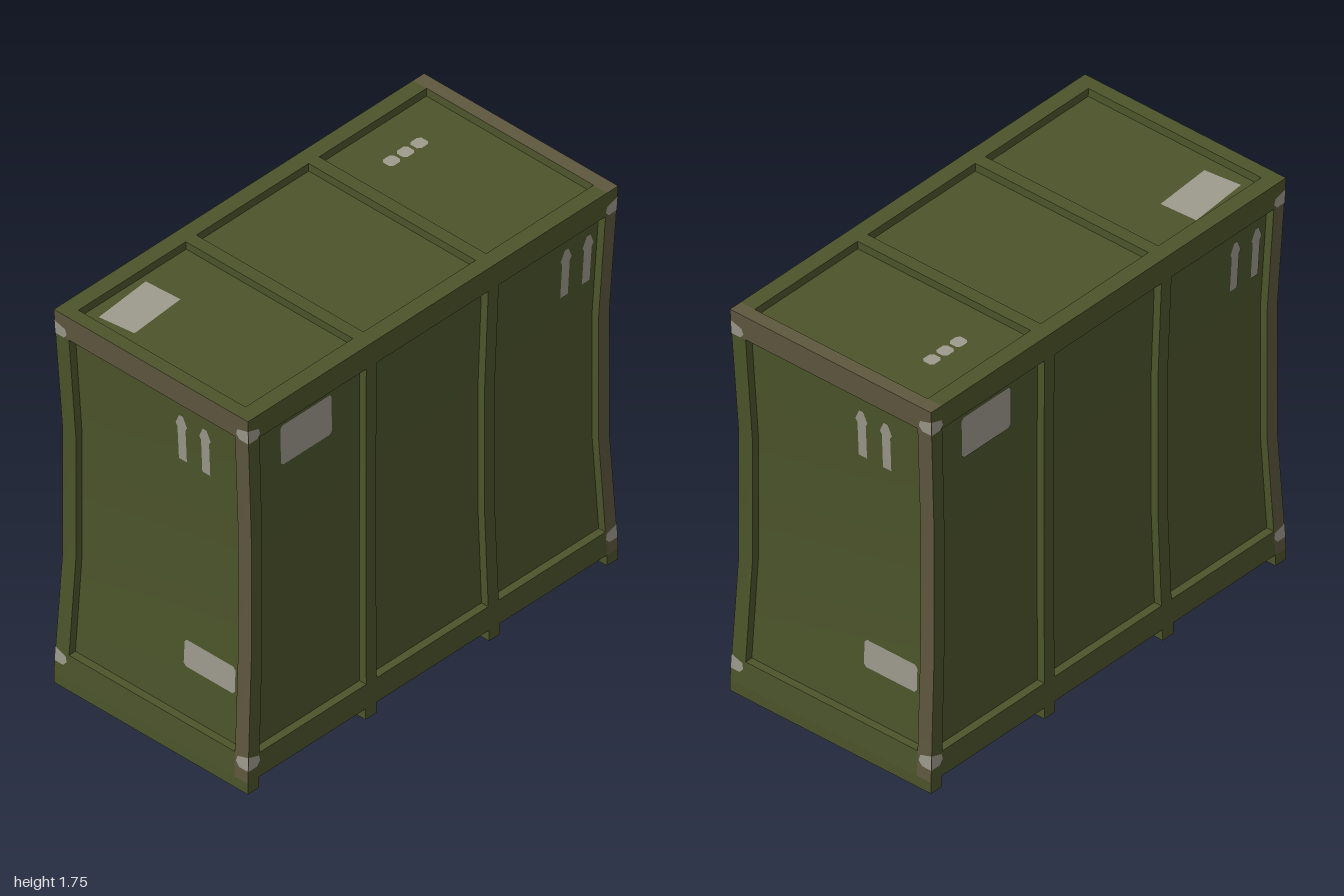
import * as THREE from 'three';

const mat = (name, color) => Object.assign(new THREE.MeshStandardMaterial({ color }), { name });

export function createModel() {
  const green = mat('olive paint', 0x4d552b);
  const brown = mat('worn brown', 0x5f583f);
  const grey = mat('stencil grey', 0x9d9a8d);
  const group = new THREE.Group();
  group.name = 'crate';

  // The walls pinch inward between two heights
  const LOW = 0.6, HIGH = 1.18, BASE = 0.05, TOP = 1.75;
  const pinch = y => THREE.MathUtils.clamp(
    y < LOW ? (y - BASE) / (LOW - BASE) : (TOP - y) / (TOP - HIGH), 0, 1);
  function warp(geo) {
    const p = geo.attributes.position;
    for (let i = 0; i < p.count; i++) {
      const k = pinch(p.getY(i));
      p.setX(i, p.getX(i) * (1 - 0.033 * k));
      p.setZ(i, p.getZ(i) * (1 - 0.028 * k));
    }
    geo.computeVertexNormals();
    return geo;
  }

  // Box from limits; worn lists the face indices (+x -x +y -y +z -z) painted brown
  function box(name, x0, x1, y0, y1, z0, z1, worn = []) {
    const tall = y0 < LOW && y1 > HIGH;
    const geo = new THREE.BoxGeometry(x1 - x0, 3, z1 - z0, 1, tall ? 3 : 1, 1);
    geo.translate((x0 + x1) / 2, 1.5, (z0 + z1) / 2);
    const rows = [y0, LOW, HIGH, y1];
    const p = geo.attributes.position;
    for (let i = 0; i < p.count; i++) p.setY(i, rows[Math.round(p.getY(i))]);
    const mats = worn.length ? [0, 1, 2, 3, 4, 5].map(i => (worn.includes(i) ? brown : green)) : green;
    const mesh = new THREE.Mesh(warp(geo), mats);
    mesh.name = name;
    group.add(mesh);
  }

  // Flat painted mark, drawn in a wall's own plane and turned onto that wall
  function mark(name, pts, dist, turn) {
    const geo = new THREE.ShapeGeometry(new THREE.Shape(pts.map(([x, y]) => new THREE.Vector2(x, y))));
    geo.translate(0, 0, dist);
    if (turn === 'top') geo.rotateX(-Math.PI / 2); else geo.rotateY(turn);
    const mesh = new THREE.Mesh(warp(geo), grey);
    mesh.name = name;
    group.add(mesh);
  }

  // Recessed panels
  box('panels', -0.965, 0.965, 0.09, 1.715, -0.465, 0.465);

  // Corner posts
  box('cornerPost', 0.94, 1, 0.05, 1.64, 0.43, 0.5, [4]);
  box('cornerPost', 0.94, 1, 0.05, 1.64, -0.5, -0.43, [0]);
  box('cornerPost', -1, -0.94, 0.05, 1.64, -0.5, -0.43, [5]);
  box('cornerPost', -1, -0.94, 0.05, 1.64, 0.43, 0.5, [1]);

  // End rails
  box('endTopRail', 0.94, 1, 1.64, 1.75, -0.5, 0.5, [0, 2]);
  box('endTopRail', -1, -0.94, 1.64, 1.75, -0.5, 0.5, [1]);
  for (const x of [-1, 0.94]) box('endBottomRail', x, x + 0.06, 0.05, 0.16, -0.43, 0.43);

  // Long rails and upright battens on both long walls
  for (const z of [-0.5, 0.43]) {
    box('longTopRail', -0.94, 0.94, 1.64, 1.75, z, z + 0.07);
    box('longBottomRail', -0.94, 0.94, 0.05, 0.16, z, z + 0.07);
    for (const x of [-0.36, 0.303]) box('wallBatten', x, x + 0.057, 0.16, 1.64, z, z + 0.07);
  }

  // Lid and floor battens
  for (const x of [-0.36, 0.303]) {
    box('lidBatten', x, x + 0.057, 1.64, 1.75, -0.43, 0.43);
    box('floorBatten', x, x + 0.057, 0.05, 0.16, -0.43, 0.43);
  }

  // Runners
  for (const x of [-1, -0.365, 0.302, 0.94]) box('runner', x, x + 0.06, 0, 0.05, -0.5, 0.5);

  const rect = (x0, x1, y0, y1, c = 0.012) => [
    [x0 + c, y0], [x1 - c, y0], [x1, y0 + c], [x1, y1 - c],
    [x1 - c, y1], [x0 + c, y1], [x0, y1 - c], [x0, y0 + c]];
  const arrow = (x, y0, y1) => [
    [x - 0.021, y0], [x + 0.021, y0], [x + 0.021, y1 - 0.06], [x + 0.03, y1 - 0.045],
    [x + 0.01, y1], [x - 0.01, y1], [x - 0.03, y1 - 0.045], [x - 0.021, y1 - 0.06]];

  for (const turn of [0, Math.PI]) {
    // Long wall marks
    mark('wallLabel', rect(-0.795, -0.515, 1.4, 1.59), 0.468, turn);
    for (const x of [0.768, 0.888]) mark('wallArrow', arrow(x, 1.35, 1.565), 0.468, turn);
    // End wall marks
    const end = turn + Math.PI / 2;
    mark('endLabel', rect(0.122, 0.39, 0.38, 0.5), 0.968, end);
    for (const x of [0.115, 0.238]) mark('endArrow', arrow(x, 1.335, 1.55), 0.968, end);
    // Bare patches wrapped round the corners
    for (const y of [1.64, 0.105]) for (const s of [-1, 1]) {
      const patch = h => [[h, y], [h - 0.045, y], [h - 0.062, y + 0.02], [h - 0.055, y + 0.045], [h, y + 0.062]]
        .map(([x, v]) => [x * s, v]);
      mark('cornerPatch', patch(1), 0.502, turn);
      mark('cornerPatch', patch(0.5), 1.002, end);
    }
  }

  // Lid marks
  mark('lidLabel', [[-0.87, 0.21], [-0.6, 0.23], [-0.61, 0.4], [-0.89, 0.375]], 1.718, 'top');
  for (const x of [0.53, 0.605, 0.68]) mark('lidDash', rect(x, x + 0.06, 0.22, 0.275), 1.718, 'top');

  return group;
}
